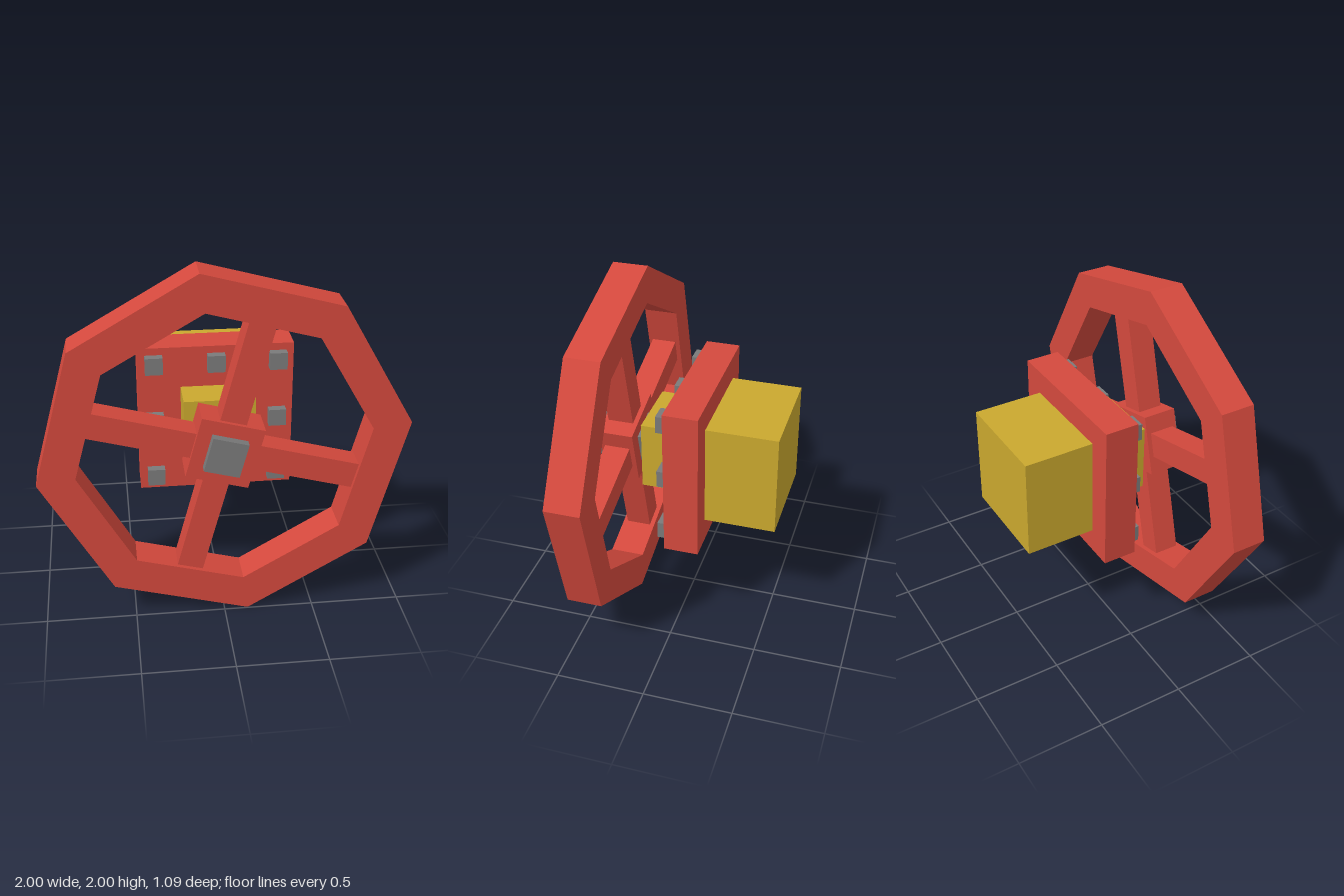
import * as THREE from 'three';

const mat = (name, color) => {
  const m = new THREE.MeshStandardMaterial({ color });
  m.name = name;
  return m;
};

export function createModel() {
  const red = mat('red paint', 0xd4493d);
  const yellow = mat('yellow body', 0xcaa82e);
  const grey = mat('grey steel', 0x7a7a7a);

  const model = new THREE.Group();
  model.name = 'valve';

  // Box spanning z0..z1, centred on x, y
  const box = (parent, name, material, w, h, z0, z1, x = 0, y = 0) => {
    const mesh = new THREE.Mesh(new THREE.BoxGeometry(w, h, z1 - z0), material);
    mesh.name = name;
    mesh.position.set(x, y, (z0 + z1) / 2);
    parent.add(mesh);
    return mesh;
  };

  // Fixed body: pipe block, flange plate and neck
  const body = new THREE.Group();
  body.name = 'body';
  body.position.y = 1;
  model.add(body);
  box(body, 'pipeBlock', yellow, 0.59, 0.59, -0.545, -0.145);
  box(body, 'flange', red, 0.87, 0.87, -0.145, 0.05);
  box(body, 'neck', yellow, 0.395, 0.395, 0.05, 0.25);

  // Bolts around the flange
  for (let i = -1; i <= 1; i++) {
    for (let j = -1; j <= 1; j++) {
      if (i || j) box(body, 'bolt', grey, 0.098, 0.098, 0.05, 0.1, i * 0.345, j * 0.345);
    }
  }

  // Handwheel, turned slightly clockwise
  const wheel = new THREE.Group();
  wheel.name = 'handwheel';
  wheel.position.y = 1;
  wheel.rotation.z = -Math.PI / 12;
  model.add(wheel);

  // Octagonal rim
  const octagon = (r) => Array.from({ length: 8 }, (_, k) => {
    const a = ((k + 0.5) * Math.PI) / 4;
    return new THREE.Vector2(r * Math.cos(a), r * Math.sin(a));
  });
  const shape = new THREE.Shape(octagon(1.0086));
  shape.holes.push(new THREE.Path(octagon(0.8)));
  const rim = new THREE.Mesh(
    new THREE.ExtrudeGeometry(shape, { depth: 0.197, bevelEnabled: false }), red);
  rim.name = 'rim';
  rim.position.z = 0.298;
  wheel.add(rim);

  // Four spokes, hub and spindle
  for (let k = 0; k < 4; k++) {
    const arm = new THREE.Group();
    arm.name = 'spokeArm';
    arm.rotation.z = (k * Math.PI) / 2;
    box(arm, 'spoke', red, 0.6, 0.145, 0.325, 0.47, 0.45);
    wheel.add(arm);
  }
  box(wheel, 'hub', red, 0.35, 0.35, 0.298, 0.495);
  box(wheel, 'spindle', grey, 0.197, 0.197, 0.24, 0.545);

  return model;
}
